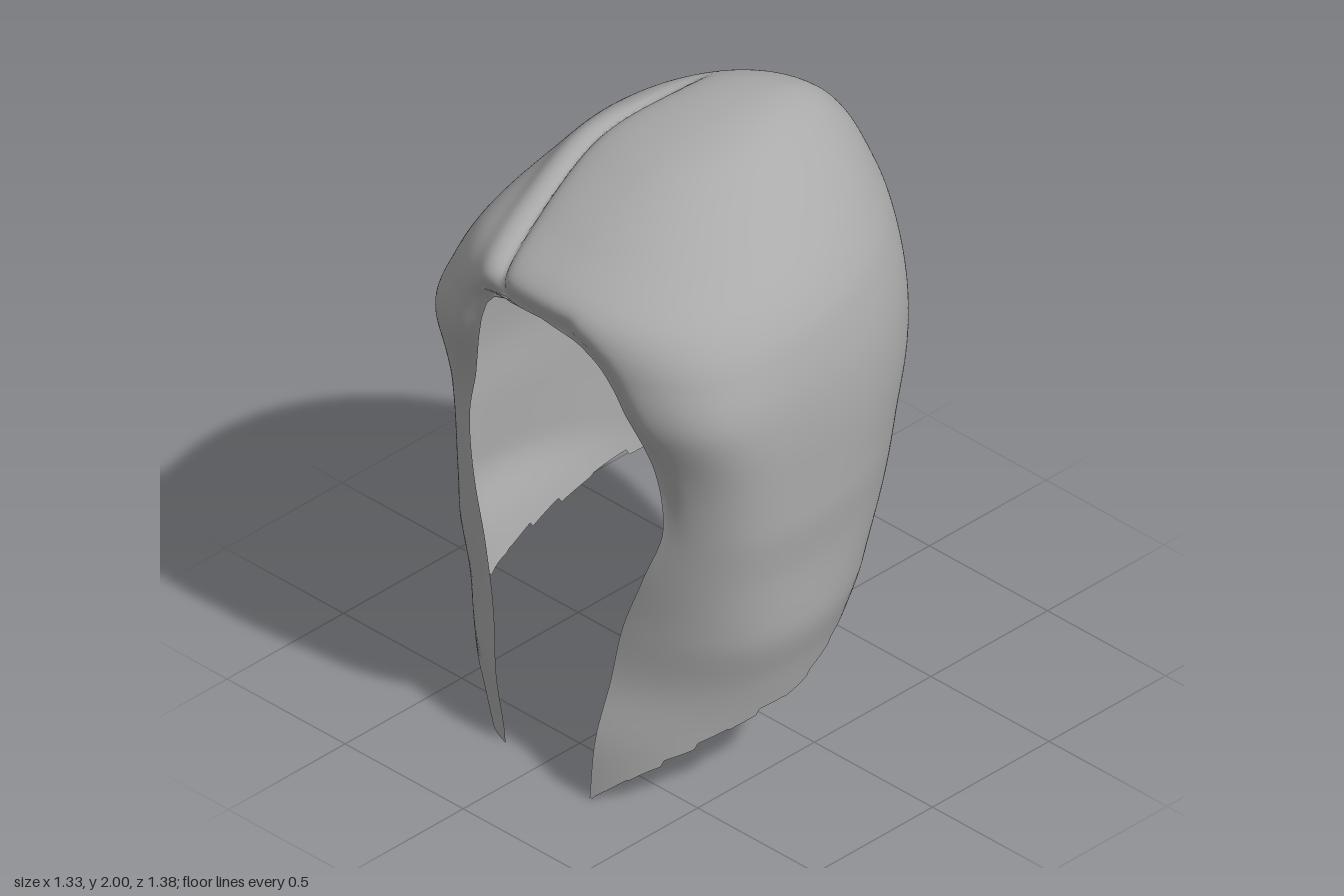
import * as THREE from 'three';
import { mergeVertices } from 'three/addons/utils/BufferGeometryUtils.js';

const { smoothstep } = THREE.MathUtils;

// Smooth interpolation through [x, y] points without overshoot
function curve(pts) {
  const n = pts.length;
  const d = [];
  for (let i = 0; i < n - 1; i++) d.push((pts[i + 1][1] - pts[i][1]) / (pts[i + 1][0] - pts[i][0]));
  const slope = pts.map((_, i) => {
    if (i === 0) return d[0];
    if (i === n - 1) return d[n - 2];
    const a = d[i - 1], b = d[i];
    if (a * b <= 0) return 0;
    return Math.sign(a) * Math.min(Math.abs(a + b) / 2, 2.5 * Math.abs(a), 2.5 * Math.abs(b));
  });
  return (x) => {
    if (x <= pts[0][0]) return pts[0][1];
    if (x >= pts[n - 1][0]) return pts[n - 1][1];
    let i = 0;
    while (x > pts[i + 1][0]) i++;
    const h = pts[i + 1][0] - pts[i][0], t = (x - pts[i][0]) / h, u = 1 - t;
    return u * u * (1 + 2 * t) * pts[i][1] + t * u * u * h * slope[i]
      + t * t * (3 - 2 * t) * pts[i + 1][1] - t * t * u * h * slope[i + 1];
  };
}

// Horizontal sections: height, half width at +x, half width at -x, front z, back z, middle z
const SECTIONS = [
  [2, 0, 0, -0.15, -0.15, -0.15],
  [1.99, 0.1, 0.13, 0, -0.3, -0.14],
  [1.95, 0.205, 0.28, 0.2, -0.44, -0.07],
  [1.91, 0.275, 0.355, 0.31, -0.505, -0.02],
  [1.815, 0.41, 0.43, 0.51, -0.59, 0.07],
  [1.7, 0.535, 0.5, 0.685, -0.645, 0.14],
  [1.62, 0.59, 0.54, 0.705, -0.672, 0.16],
  [1.54, 0.622, 0.573, 0.698, -0.685, 0.18],
  [1.4, 0.655, 0.622, 0.675, -0.69, 0.2],
  [1.2, 0.667, 0.645, 0.615, -0.668, 0.2],
  [1.0, 0.667, 0.662, 0.6, -0.604, 0.2],
  [0.8, 0.652, 0.655, 0.61, -0.553, 0.2],
  [0.6, 0.648, 0.655, 0.62, -0.445, 0.2],
  [0.4, 0.6, 0.595, 0.65, -0.36, 0.2],
  [0.2, 0.56, 0.55, 0.72, -0.3, 0.2],
  [0, 0.55, 0.54, 0.74, -0.3, 0.2],
];
const toP = (y) => Math.sqrt(Math.max(0, 2 - y)); // keeps the crown round
const [wPlus, wMinus, zFront, zBack, zMid] = [1, 2, 3, 4, 5].map((k) => curve(SECTIONS.map((s) => [toP(s[0]), s[k]])));

// How boxy each section is, by height: front corners at +x and -x, back corners at +x and -x
const frontPlus = curve([[0, 2], [0.3, 2.15], [0.8, 2.8], [1.1, 3.1], [1.35, 3.3], [1.55, 2.75], [1.8, 2.1], [2, 2]]);
const frontMinus = curve([[0, 2], [0.3, 2.1], [0.8, 2.5], [1.05, 2.8], [1.32, 3.8], [1.55, 3], [1.8, 2.2], [2, 2]]);
const backPlus = curve([[0, 2.05], [1.1, 2.05], [1.4, 1.95], [1.7, 1.75], [2, 1.8]]);
const backMinus = curve([[0, 2.05], [1.3, 2.05], [1.7, 1.95], [2, 1.95]]);

// Half width of the face opening by height, on each side
const openPlus = curve([[0, 0.23], [0.4, 0.25], [0.6, 0.28], [0.8, 0.35], [1, 0.41], [1.2, 0.38],
  [1.4, 0.31], [1.5, 0.26], [1.57, 0.19], [1.605, 0.11], [1.62, 0]]);
const openMinus = curve([[0, 0.16], [0.2, 0.2], [0.4, 0.25], [0.6, 0.31], [0.8, 0.38], [1, 0.425], [1.2, 0.37],
  [1.4, 0.3], [1.5, 0.27], [1.57, 0.23], [1.61, 0.16], [1.62, 0]]);

// Lower edge height by z, and the parting line x by z
const lowerEdge = curve([[-0.5, 0.66], [-0.45, 0.63], [-0.4, 0.6], [-0.2, 0.5], [0, 0.4], [0.2, 0.31],
  [0.3, 0.29], [0.5, 0.19], [0.6, 0.12], [0.69, 0]]);
const partLine = curve([[-0.35, -0.22], [-0.1, -0.24], [0.15, -0.27], [0.4, -0.235], [0.7, -0.165]]);

const HAIRLINE = 1.62, COLUMNS = 320, CAP_ROWS = 50, SIDE_ROWS = 64;

// Points along the face opening, used to find the distance to its rim
const rim = [];
for (let i = 0; i <= 60; i++) {
  const y = HAIRLINE - 0.9 * Math.pow(i / 60, 2);
  rim.push([openPlus(y), y], [-openMinus(y), y]);
}
for (let x = -0.15; x < 0.12; x += 0.02) rim.push([x, HAIRLINE]);
const rimDistance = (v) => Math.min(...rim.map(([x, y]) => Math.hypot(v.x - x, v.y - y)));

// Point on the shell; s runs from -1 (front, -x edge) round the back to 1 (front, +x edge)
function shellPoint(s, y) {
  const p = toP(y), left = s >= 0;
  const w = left ? wPlus(p) : wMinus(p);
  const nFront = left ? frontPlus(y) : frontMinus(y);
  let limit = Math.PI;
  if (y < HAIRLINE - 1e-6) {
    const open = left ? openPlus(y) : openMinus(y);
    limit -= Math.asin(Math.min(1, Math.pow(open / w, nFront / 2)));
  }
  const a = Math.abs(s) * limit, c = -Math.cos(a), mid = zMid(p);
  const e = 2 / (c > 0 ? nFront : left ? backPlus(y) : backMinus(y));
  const x = Math.sign(s) * w * Math.pow(Math.abs(Math.sin(a)), e);
  const depth = Math.pow(Math.abs(c), e);
  const z = mid + depth * (c > 0 ? zFront(p) - mid : zBack(p) - mid);
  return new THREE.Vector3(x, y, z);
}

// Rolled rim round the face, and the groove of the parting
function addDetail(v, s) {
  if (v.z > 0.3 && v.y > 0.75 && v.y < 1.85) {
    const d = rimDistance(v) / 0.055;
    v.z -= 0.04 * smoothstep(v.y, 0.8, 1.45) * Math.exp(-d * d);
  }
  if (s < 0) v.z -= 0.06 * (1 - smoothstep(v.y, 0, 0.45)) * smoothstep(v.z, 0.4, 0.65);
  const window = smoothstep(v.z, -0.36, -0.1) * smoothstep(v.y, 1.56, 1.64);
  if (window > 0) {
    const d = v.x - partLine(v.z);
    const ridge = d < 0 ? 0.014 * smoothstep(v.z, -0.1, 0.2) * Math.exp(-Math.pow((d + 0.05) / 0.05, 2)) : 0;
    const inward = new THREE.Vector3(0, 1.3, 0).sub(v).normalize();
    v.addScaledVector(inward, (0.024 * Math.exp(-Math.abs(d) / 0.02) - ridge) * window);
  }
  v.y = Math.min(2, Math.max(0, v.y));
  return v;
}

// Height where a column meets the ragged lower edge
function columnEnd(s, i) {
  let y = 0.35;
  for (let k = 0; k < 24; k++) y = (y + lowerEdge(shellPoint(s, y).z)) / 2;
  const tuft = Math.floor(i / 11);
  const ragged = 0.024 * (((tuft * 7) % 11) / 11 - 0.5) + 0.01 * ((i % 11) / 11 - 0.5);
  return Math.max(0, (y + ragged) * (1 - Math.pow(Math.abs(s), 60)));
}

function hairGeometry() {
  const ends = [];
  for (let i = 0; i <= COLUMNS; i++) ends.push(columnEnd((2 * i) / COLUMNS - 1, i));
  const positions = [], index = [], pHair = toP(HAIRLINE), rows = CAP_ROWS + SIDE_ROWS;
  for (let r = 0; r <= rows; r++) {
    for (let i = 0; i <= COLUMNS; i++) {
      const s = (2 * i) / COLUMNS - 1;
      const k = (r - CAP_ROWS) / SIDE_ROWS;
      const p = r <= CAP_ROWS ? (pHair * r) / CAP_ROWS : pHair + (toP(ends[i]) - pHair) * Math.pow(k, 1.4);
      const y = r === CAP_ROWS ? HAIRLINE : 2 - p * p;
      positions.push(...addDetail(shellPoint(s, y), s).toArray());
    }
  }
  const stride = COLUMNS + 1;
  for (let r = 0; r < rows; r++) {
    for (let i = 0; i < COLUMNS; i++) {
      const a = r * stride + i, b = a + stride;
      if (r > 0) index.push(a, a + 1, b);
      index.push(a + 1, b + 1, b);
    }
  }
  const raw = new THREE.BufferGeometry();
  raw.setAttribute('position', new THREE.Float32BufferAttribute(positions, 3));
  raw.setIndex(index);
  const geometry = mergeVertices(raw, 1e-5);
  geometry.computeVertexNormals();
  return geometry;
}

export function createModel() {
  const group = new THREE.Group();
  group.name = 'bobHair';
  const hairGrey = new THREE.MeshStandardMaterial({ color: 0xaaaaaa, side: THREE.DoubleSide });
  hairGrey.name = 'hairGrey';
  const hair = new THREE.Mesh(hairGeometry(), hairGrey);
  hair.name = 'hairShell';
  group.add(hair);
  return group;
}
